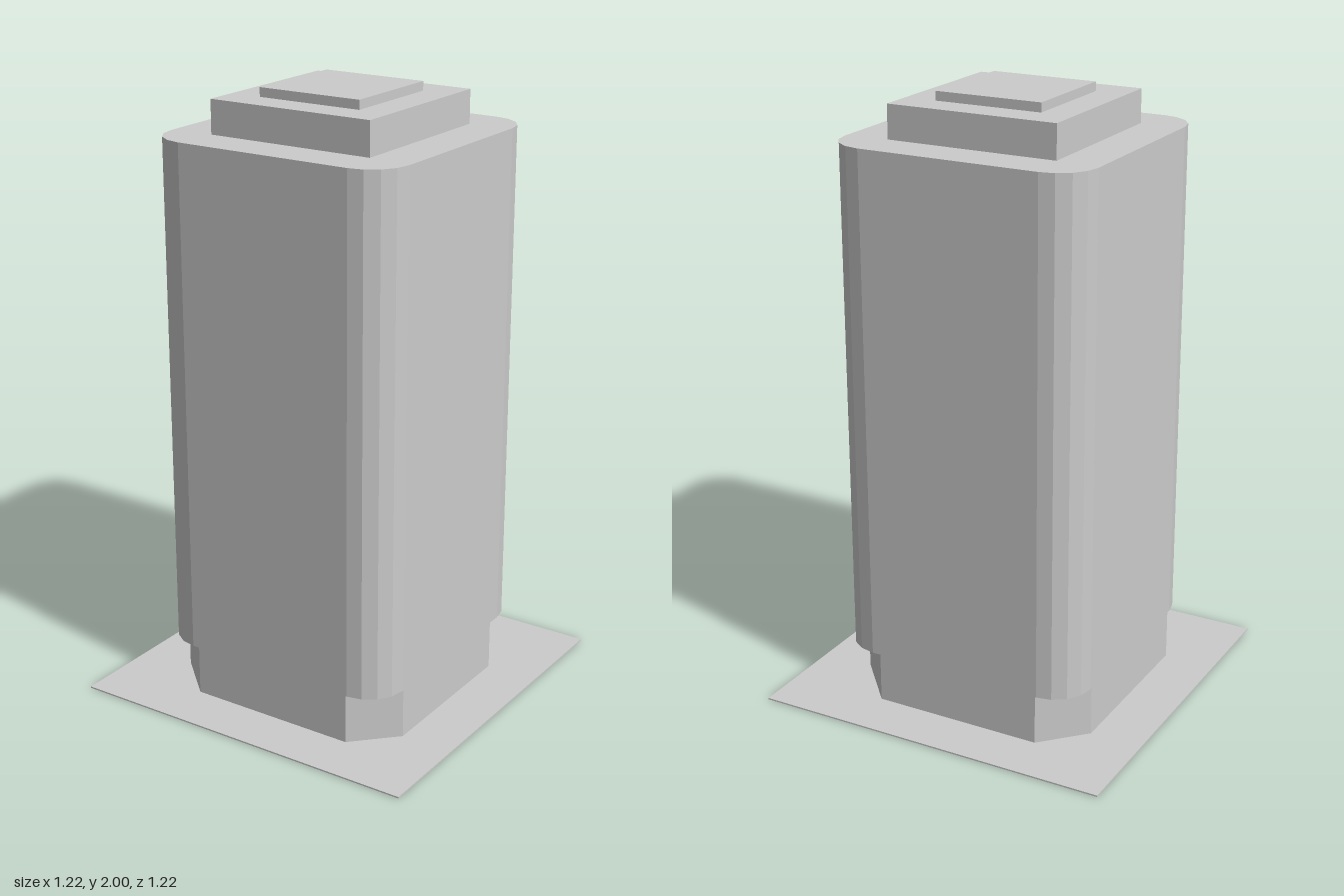
import * as THREE from 'three';

const material = new THREE.MeshStandardMaterial({ color: 0xcccccc, flatShading: true });

function add(group, name, geometry, y = 0) {
  const mesh = new THREE.Mesh(geometry, material);
  mesh.name = name;
  mesh.position.y = y;
  group.add(mesh);
}

// Upright prism from a ground plan of [x, z] points
function prism(plan, height) {
  const shape = new THREE.Shape(plan.map(([x, z]) => new THREE.Vector2(x, -z)));
  return new THREE.ExtrudeGeometry(shape, { depth: height, bevelEnabled: false }).rotateX(-Math.PI / 2);
}

// Square plan with rounded corners
function roundedSquare(half, radius, segments) {
  const plan = [];
  for (let corner = 0; corner < 4; corner++) {
    const middle = Math.PI / 4 + corner * Math.PI / 2;
    const cx = Math.sign(Math.cos(middle)) * (half - radius);
    const cz = Math.sign(Math.sin(middle)) * (half - radius);
    for (let i = 0; i <= segments; i++) {
      const a = (corner + i / segments) * Math.PI / 2;
      plan.push([cx + radius * Math.cos(a), cz + radius * Math.sin(a)]);
    }
  }
  return plan;
}

export function createModel() {
  const group = new THREE.Group();
  group.name = 'tower';

  // Thin ground plate
  const plate = 0.005;
  add(group, 'groundPlate', new THREE.BoxGeometry(1.215, plate, 1.215), plate / 2);

  // Ground floor with cut corners
  const h = 0.432;
  add(group, 'groundFloor', prism([
    [h, 0.3], [0.3, h], [-0.28, h], [-h, 0.29],
    [-h, -0.295], [-0.3, -h], [0.275, -h], [h, -0.256],
  ], 0.17 - plate), plate);

  // Main shaft with rounded corners
  add(group, 'shaft', prism(roundedSquare(h, 0.128, 4), 1.86 - 0.17), 0.17);

  // Stepped roof
  add(group, 'roofBlock', new THREE.BoxGeometry(0.576, 0.11, 0.576), 1.915);
  add(group, 'roofCap', new THREE.BoxGeometry(0.362, 0.03, 0.362), 1.985);

  return group;
}
